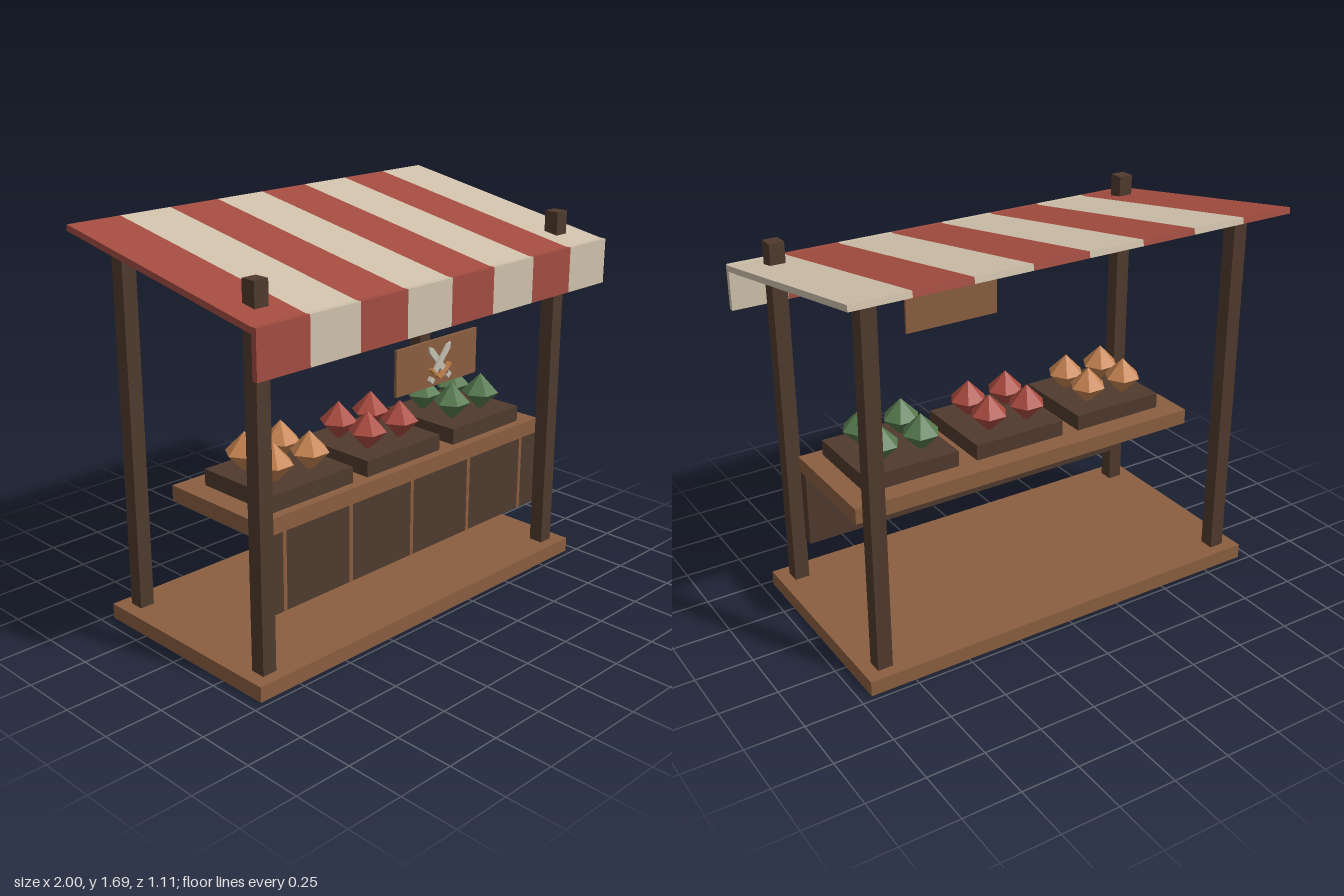
import * as THREE from 'three';

const mat = (name, color) => {
  const m = new THREE.MeshStandardMaterial({ color });
  m.name = name;
  return m;
};

export function createModel() {
  const root = new THREE.Group();
  root.name = 'marketStall';

  const wood = mat('wood', 0x8a5e3f);
  const darkWood = mat('darkWood', 0x4f3a2d);
  const red = mat('redCloth', 0xa34c40);
  const cream = mat('creamCloth', 0xcfc1ab);
  const orangeGem = mat('orangeGem', 0xc68350);
  const redGem = mat('redGem', 0xab4a3f);
  const greenGem = mat('greenGem', 0x577a4f);
  const steel = mat('steel', 0xc6c0b2);

  const add = (parent, name, geometry, material, x = 0, y = 0, z = 0) => {
    const mesh = new THREE.Mesh(geometry, material);
    mesh.name = name;
    mesh.position.set(x, y, z);
    parent.add(mesh);
    return mesh;
  };
  // Box given by its limits on each axis
  const box = (parent, name, material, [x0, x1], [y0, y1], [z0, z1]) =>
    add(parent, name, new THREE.BoxGeometry(x1 - x0, y1 - y0, z1 - z0), material,
      (x0 + x1) / 2, (y0 + y1) / 2, (z0 + z1) / 2);
  const group = (name, parent = root) => {
    const g = new THREE.Group();
    g.name = name;
    parent.add(g);
    return g;
  };

  // Floor and four posts
  box(root, 'floor', wood, [-0.95, 0.95], [0, 0.066], [-0.475, 0.475]);
  for (const x of [-0.858, 0.858])
    for (const z of [-0.39, 0.39])
      box(root, 'post', darkWood, [x - 0.033, x + 0.033], [0, 1.62], [z - 0.033, z + 0.033]);

  // Counter with front panel and battens
  const counter = group('counter');
  box(counter, 'counterTop', wood, [-0.835, 0.835], [0.597, 0.665], [-0.175, 0.357]);
  box(counter, 'frontPanel', darkWood, [-0.83, 0.83], [0.257, 0.6], [0.307, 0.355]);
  for (const x of [-0.715, -0.358, 0, 0.358, 0.715])
    box(counter, 'batten', wood, [x - 0.009, x + 0.009], [0.26, 0.598], [0.35, 0.361]);

  // Crates, each with four six-sided gems
  const gemShape = new THREE.LatheGeometry([
    new THREE.Vector2(0, -0.087), new THREE.Vector2(0.083, 0), new THREE.Vector2(0, 0.087),
  ], 6, Math.PI / 6 * 3).toNonIndexed();
  gemShape.computeVertexNormals();
  [[-0.522, orangeGem], [-0.003, redGem], [0.522, greenGem]].forEach(([x, gem]) => {
    const crate = group('crate');
    box(crate, 'tray', darkWood, [x - 0.218, x + 0.218], [0.665, 0.735], [-0.083, 0.316]);
    for (const dx of [-0.103, 0.089])
      for (const z of [0.03, 0.202])
        add(crate, 'gem', gemShape, gem, x + dx, 0.808, z);
  });

  // Sloping awning with a hanging valance, in eight stripes
  const awning = group('awning');
  for (let i = 0; i < 8; i++) {
    const x0 = -1 + i * 0.25;
    const cloth = i % 2 ? cream : red;
    const roof = add(awning, 'roofStripe', new THREE.BoxGeometry(0.25, 0.026, 1.122), cloth,
      x0 + 0.125, 1.58, 0);
    roof.rotation.x = THREE.MathUtils.degToRad(10);
    box(awning, 'valanceStripe', cloth, [x0, x0 + 0.25], [1.305, 1.5], [0.531, 0.555]);
  }

  // Sign board with two crossed swords
  const sign = group('sign');
  box(sign, 'signBoard', wood, [-0.235, 0.235], [1.05, 1.24], [0.473, 0.485]);
  const bladeShape = new THREE.Shape([
    [-0.013, -0.05], [0.013, -0.05], [0.013, 0.07], [0, 0.092], [-0.013, 0.07],
  ].map(([x, y]) => new THREE.Vector2(x, y)));
  [1, -1].forEach((side, i) => {
    const sword = group('sword', sign);
    sword.position.set(0, 1.15, 0.485 + i * 0.009);
    sword.rotation.z = side * THREE.MathUtils.degToRad(40);
    add(sword, 'blade', new THREE.ExtrudeGeometry(bladeShape, { depth: 0.009, bevelEnabled: false }), steel);
    box(sword, 'guard', orangeGem, [-0.036, 0.036], [-0.058, -0.047], [0, 0.02]);
    box(sword, 'grip', wood, [-0.007, 0.007], [-0.078, -0.058], [0, 0.014]);
    box(sword, 'pommel', steel, [-0.012, 0.012], [-0.094, -0.074], [0, 0.016]);
  });

  return root;
}
